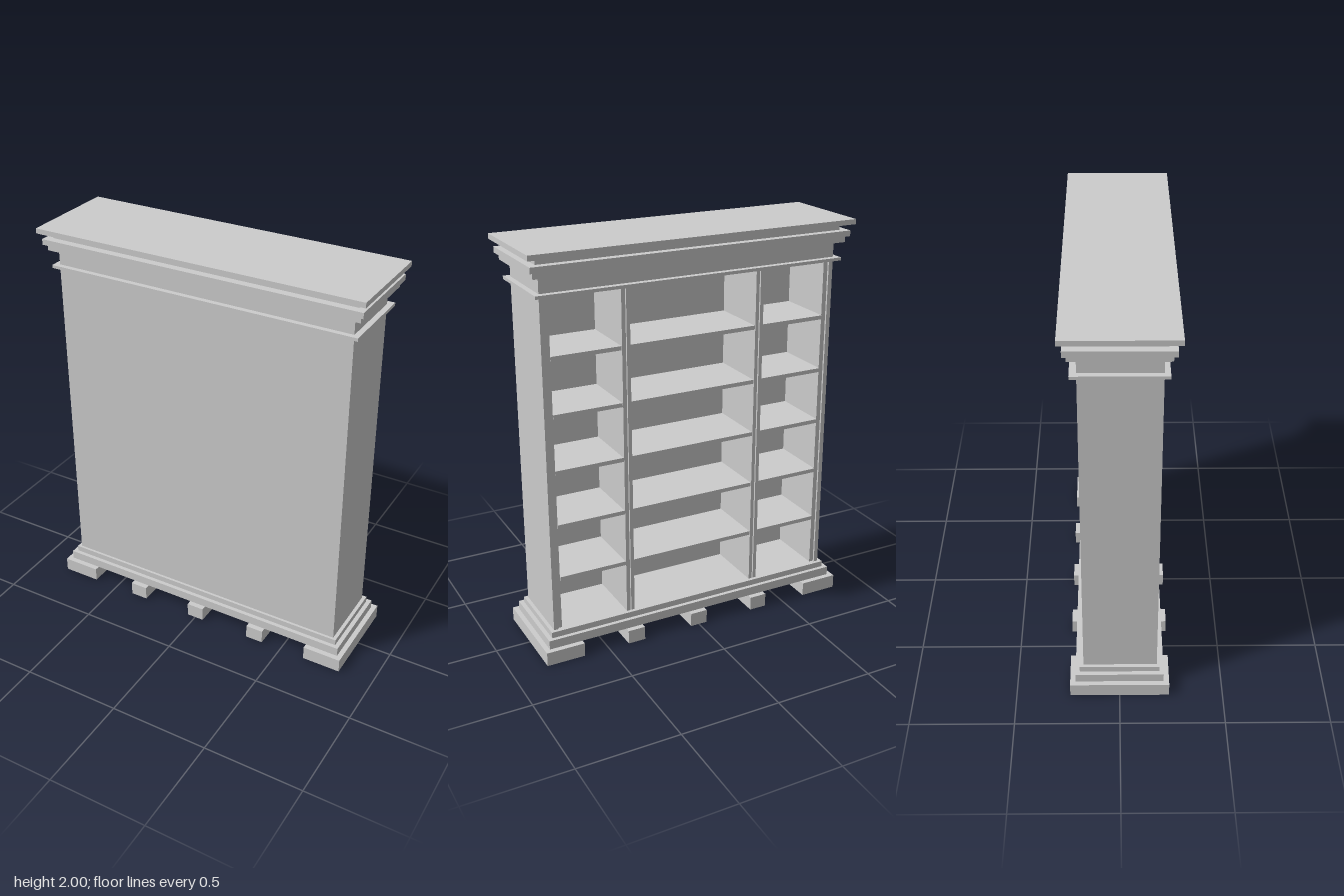
import * as THREE from 'three';

const FLOOR = 0.145, CEILING = 1.795;   // bottom and top of the shelf bays
const REAR = -0.175, FACE = 0.18;       // open side and closed side of the body

export function createModel() {
  const model = new THREE.Group();
  const material = new THREE.MeshStandardMaterial({ color: 0xcccccc });
  const thin = new THREE.MeshStandardMaterial({ color: 0xcccccc, side: THREE.DoubleSide });

  // Box given by its lower and upper limits on each axis
  function box(name, x0, x1, y0, y1, z0, z1) {
    const mesh = new THREE.Mesh(new THREE.BoxGeometry(x1 - x0, y1 - y0, z1 - z0), material);
    mesh.position.set((x0 + x1) / 2, (y0 + y1) / 2, (z0 + z1) / 2);
    mesh.name = name;
    model.add(mesh);
    return mesh;
  }
  const slab = (name, hx, y0, y1, hz) => box(name, -hx, hx, y0, y1, -hz, hz);

  // Feet: hollow blocks running front to rear, open underneath
  for (const [x0, x1] of [[-0.825, -0.63], [-0.395, -0.305], [-0.045, 0.045], [0.305, 0.395], [0.63, 0.825]]) {
    const foot = box('foot', x0, x1, 0, 0.07, -0.24, 0.24);
    const index = Array.from(foot.geometry.index.array);
    foot.geometry.setIndex([...index.slice(0, 18), ...index.slice(24)]);
    foot.geometry.clearGroups();
    foot.material = thin;
  }

  // Stepped plinth
  slab('plinthLower', 0.8, 0.07, 0.115, 0.213);
  slab('plinthUpper', 0.778, 0.115, FLOOR, 0.193);

  // Closed face panel and solid head of the body
  box('facePanel', -0.76, 0.76, FLOOR, CEILING, 0.13, FACE);
  box('head', -0.76, 0.76, CEILING, 1.888, REAR, FACE);

  // Outer sides, each with a slightly recessed inner lining
  for (const s of [-1, 1]) {
    const side = (name, a, b, z) =>
      box(name, Math.min(s * a, s * b), Math.max(s * a, s * b), FLOOR, CEILING, z, 0.13);
    side('side', 0.738, 0.76, REAR);
    side('sideLining', 0.715, 0.738, REAR + 0.01);
    // Divider: two boards with a recessed filler between them
    side('dividerBoard', 0.33, 0.348, REAR);
    side('dividerFiller', 0.348, 0.354, REAR + 0.01);
    side('dividerBoard', 0.354, 0.372, REAR);
  }

  // Five evenly spaced shelves in each of the three bays
  const step = (CEILING - FLOOR) / 6;
  for (const [x0, x1] of [[-0.715, -0.372], [-0.33, 0.33], [0.372, 0.715]]) {
    for (let i = 1; i <= 5; i++) {
      const y = FLOOR + i * step;
      box('shelf', x0, x1, y - 0.02, y, REAR + 0.005, 0.13);
    }
  }

  // Thin band and stepped cornice
  slab('band', 0.787, 1.795, 1.81, 0.205);
  slab('corniceLower', 0.798, 1.885, 1.915, 0.213);
  slab('corniceMiddle', 0.815, 1.915, 1.943, 0.23);
  slab('corniceNeck', 0.777, 1.943, 1.975, 0.193);
  slab('corniceTop', 0.83, 1.975, 2, 0.25);

  return model;
}
